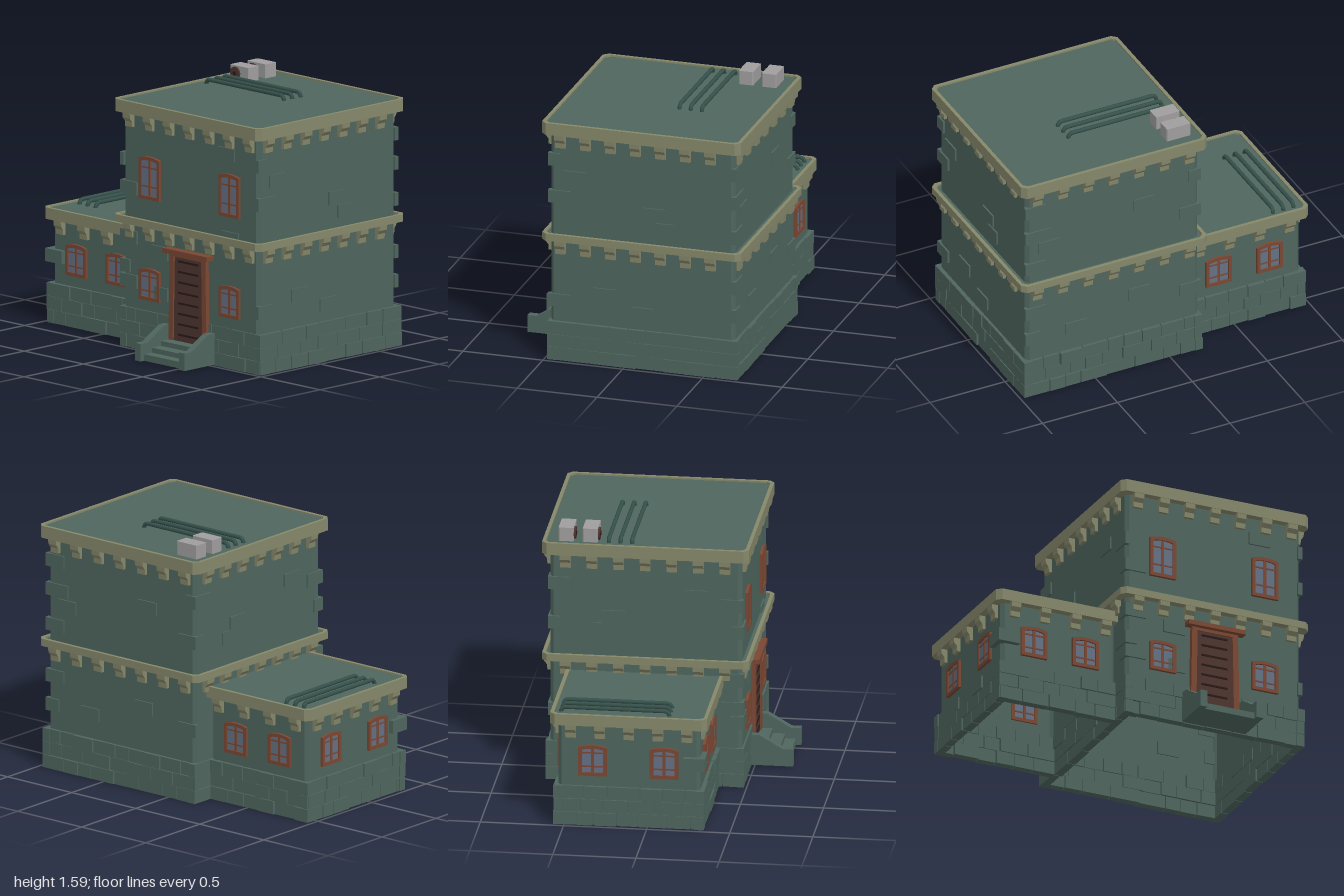
import * as THREE from 'three';

const mat = (name, color) => Object.assign(new THREE.MeshStandardMaterial({ color }), { name });
const M = {
  wall: mat('stone green', 0x4e655d), trim: mat('khaki trim', 0x85876a), pipe: mat('pipe green', 0x35504a),
  frame: mat('red brown wood', 0x7a4733), glass: mat('blue grey glass', 0x637083), door: mat('dark brown door', 0x4e342f),
  slot: mat('slot black brown', 0x281a18), metal: mat('grey metal', 0x9f9d9d),
};

// Footprints of the two blocks
const MAIN = { x0: -0.2, x1: 0.95, z0: -0.685, z1: 0.47 };
const WING = { x0: -0.95, x1: -0.2, z0: -0.54, z1: 0.315 };
const grow = (b, d) => ({ x0: b.x0 - d, x1: b.x1 + d, z0: b.z0 - d, z1: b.z1 + d });

let seed = 7;
const rnd = () => (seed = (seed * 16807) % 2147483647) / 2147483647;

function mesh(parent, name, geo, material, x = 0, y = 0, z = 0) {
  const m = new THREE.Mesh(geo, material);
  m.name = name;
  m.position.set(x, y, z);
  parent.add(m);
  return m;
}
const box = (parent, name, material, w, h, d, x, y, z) =>
  mesh(parent, name, new THREE.BoxGeometry(w, h, d), material, x, y, z);

function group(parent, name) {
  const g = new THREE.Group();
  g.name = name;
  parent.add(g);
  return g;
}

// Rectangle with cut corners, drawn with y = -z
function outline(b, c) {
  return [[b.x0 + c, -b.z1], [b.x1 - c, -b.z1], [b.x1, -b.z1 + c], [b.x1, -b.z0 - c],
    [b.x1 - c, -b.z0], [b.x0 + c, -b.z0], [b.x0, -b.z0 - c], [b.x0, -b.z1 + c]]
    .map(([x, y]) => new THREE.Vector2(x, y));
}

// Upright prism over a footprint; a thickness makes it a hollow ring
function prism(parent, name, material, b, y0, y1, thickness = 0, cut = 0.022) {
  const s = new THREE.Shape(outline(b, cut));
  if (thickness) s.holes.push(new THREE.Path(outline(grow(b, -thickness), cut * 0.8).reverse()));
  const geo = new THREE.ExtrudeGeometry(s, { depth: y1 - y0, bevelEnabled: false }).rotateX(-Math.PI / 2);
  return mesh(parent, name, geo, material, 0, y0, 0);
}

// Put an object on one side of a block, its local +z facing out
function place(o, b, side, u, y, out = 0) {
  if (side === 'front') o.position.set(u, y, b.z1 + out);
  if (side === 'back') o.position.set(u, y, b.z0 - out);
  if (side === 'east') o.position.set(b.x1 + out, y, u);
  if (side === 'west') o.position.set(b.x0 - out, y, u);
  o.rotation.y = { front: 0, back: Math.PI, east: Math.PI / 2, west: -Math.PI / 2 }[side];
}

// Cornice: band, raised rim, roof deck and a row of corbels
function cornice(parent, b, y0, y1, drop, rows) {
  const g = group(parent, 'cornice'), o = grow(b, 0.045);
  prism(g, 'corniceBand', M.trim, o, y0, y1 - 0.02, 0.07, 0.03);
  prism(g, 'corniceRim', M.trim, o, y1 - 0.02, y1, 0.022, 0.03);
  prism(g, 'roofDeck', M.wall, grow(o, -0.022), y1 - 0.022, y1 - 0.01, 0, 0.03);
  const profile = [[-0.005, 0], [0.042, 0], [0.04, -0.35], [0.022, -0.62], [0.02, -1], [-0.005, -1]];
  const s = new THREE.Shape(profile.map(([x, y]) => new THREE.Vector2(-x, y * drop)));
  const geo = new THREE.ExtrudeGeometry(s, { depth: 0.062, bevelEnabled: false })
    .translate(0, 0, -0.031).rotateY(Math.PI / 2);
  for (const [side, n, mid, step] of rows)
    for (let i = 0; i < n; i++)
      place(mesh(g, 'corbel', geo, M.trim), b, side, mid + (i - (n - 1) / 2) * step, y0);
}

// Three courses of loose blocks around the foot
function foundation(parent, b, sides) {
  const g = group(parent, 'foundation');
  for (const side of sides) {
    const alongX = side === 'front' || side === 'back';
    const lo = alongX ? b.x0 : b.z0, hi = alongX ? b.x1 : b.z1;
    for (let row = 0; row < 3; row++) {
      let u = lo;
      while (u < hi - 0.01) {
        let w = 0.1 + rnd() * 0.1;
        if (hi - u - w < 0.07) w = hi - u;
        const stone = box(g, 'foundationStone', M.wall, w - 0.005, 0.08, 0.05, 0, 0, 0);
        place(stone, b, side, u + w / 2, 0.044 + row * 0.082, -0.025 - rnd() * 0.012);
        u += w;
      }
    }
  }
}

// Window with a gently arched frame, glass and bars
const archShape = (w, h, rise) => {
  const s = new THREE.Shape();
  s.moveTo(-w / 2, -h / 2);
  s.lineTo(w / 2, -h / 2);
  s.lineTo(w / 2, h / 2 - rise);
  s.quadraticCurveTo(0, h / 2 + rise, -w / 2, h / 2 - rise);
  return s;
};
function windowUnit(parent, b, side, u, y, h) {
  const g = group(parent, 'window'), w = 0.172;
  const s = archShape(w, h, 0.014);
  s.holes.push(archShape(w - 0.042, h - 0.042, 0.01));
  mesh(g, 'windowFrame', new THREE.ExtrudeGeometry(s, { depth: 0.04, bevelEnabled: false, curveSegments: 6 }), M.frame, 0, 0, -0.022);
  box(g, 'windowGlass', M.glass, w - 0.03, h - 0.034, 0.026, 0, 0, -0.005);
  box(g, 'windowPost', M.frame, 0.016, h - 0.03, 0.036, 0, 0, -0.005);
  for (const f of [-0.2, 0.24]) box(g, 'windowBar', M.frame, w - 0.03, 0.009, 0.033, 0, h * f, -0.005);
  place(g, b, side, u, y);
}

// Single stones standing proud of a wall: [side, along, height, width, tall]
function wallStones(parent, b, list) {
  const g = group(parent, 'wallStones');
  for (const [side, u, y, w, h = 0.08] of list)
    place(box(g, 'wallStone', M.wall, w, h, 0.03, 0, 0, 0), b, side, u, y, -0.005);
}

// Corner stones: [x side, z side, height, x length, z length]
function cornerStones(parent, b, list, out = 0.011) {
  const g = group(parent, 'cornerStones');
  for (const [sx, sz, y, w, d] of list)
    box(g, 'cornerStone', M.wall, w, 0.08, d,
      (sx > 0 ? b.x1 : b.x0) + sx * (out - w / 2), y, (sz > 0 ? b.z1 : b.z0) + sz * (out - d / 2));
}

// Three parallel roof pipes, bent down at both ends
function pipes(parent, from, to, step, y) {
  const g = group(parent, 'roofPipes');
  for (let i = 0; i < 3; i++) {
    const a = from.clone().addScaledVector(step, i), e = to.clone().addScaledVector(step, i);
    const dir = e.clone().sub(a).normalize().multiplyScalar(0.018);
    const at = (p, k, h) => p.clone().addScaledVector(dir, k).setY(y + h);
    const path = new THREE.CurvePath();
    const pts = [at(a, 0, -0.005), at(a, 0, 0.012), at(a, 1, 0.028), at(e, -1, 0.028), at(e, 0, 0.012), at(e, 0, -0.005)];
    for (let k = 0; k < 5; k++) path.add(new THREE.LineCurve3(pts[k], pts[k + 1]));
    mesh(g, 'roofPipe', new THREE.TubeGeometry(path, 60, 0.013, 8), M.pipe);
  }
}

export function createModel() {
  const root = new THREE.Group();
  root.name = 'stoneBuilding';

  // Main block, two storeys
  const main = group(root, 'mainBlock');
  prism(main, 'lowerWalls', M.wall, MAIN, 0.245, 0.78, 0.012);
  prism(main, 'upperWalls', M.wall, MAIN, 0.78, 1.48, 0.012);
  const rows = [['front', 7, 0.377, 0.169], ['back', 7, 0.377, 0.169], ['east', 7, -0.068, 0.157], ['west', 7, -0.11, 0.16]];
  cornice(main, MAIN, 0.765, 0.81, 0.085, rows);
  cornice(main, MAIN, 1.44, 1.515, 0.085, rows);
  foundation(main, { x0: -0.215, x1: 0.977, z0: -0.712, z1: 0.485 }, ['front', 'east', 'back', 'west']);
  for (const x of [0.037, 0.712]) {
    windowUnit(main, MAIN, 'front', x, 1.063, 0.262);
    windowUnit(main, MAIN, 'front', x, 0.413, 0.195);
  }
  wallStones(main, MAIN, [
    ['front', 0.68, 1.31, 0.14], ['front', 0.715, 0.81, 0.14, 0.06], ['front', 0.115, 0.62, 0.14], ['front', 0.13, 0.37, 0.11],
    ['east', 0.315, 1.17, 0.14], ['east', -0.185, 0.99, 0.14], ['east', -0.25, 0.9, 0.12],
    ['east', 0.13, 0.445, 0.14], ['east', -0.11, 0.35, 0.14],
    ['back', 0.17, 1.15, 0.14], ['back', 0.8, 1.03, 0.14], ['back', 0.85, 1.12, 0.12], ['back', 0.2, 0.52, 0.14],
    ['back', 0.62, 0.4, 0.14], ['west', 0.2, 1.2, 0.14], ['west', -0.3, 1.05, 0.14], ['west', -0.38, 0.97, 0.12],
  ]);
  cornerStones(main, MAIN, [
    [-1, 1, 0.98, 0.14, 0.08], [-1, 1, 0.68, 0.14, 0.08], [-1, 1, 0.5, 0.08, 0.14], [-1, 1, 0.41, 0.14, 0.08],
    [-1, 1, 1.15, 0.03, 0.14], [1, 1, 1.275, 0.03, 0.08], [1, 1, 1.04, 0.03, 0.14], [1, 1, 0.38, 0.03, 0.14],
    [1, -1, 1.3, 0.14, 0.03], [1, -1, 1.12, 0.1, 0.03], [1, -1, 0.9, 0.14, 0.03], [1, -1, 0.58, 0.14, 0.03],
    [1, -1, 0.4, 0.1, 0.03], [-1, -1, 1.25, 0.08, 0.14], [-1, -1, 1.0, 0.14, 0.08], [-1, -1, 0.45, 0.14, 0.03],
  ]);

  // Low side wing
  const wing = group(root, 'wing');
  prism(wing, 'wingWalls', M.wall, WING, 0.245, 0.69, 0.012);
  cornice(wing, WING, 0.64, 0.71, 0.085, [['front', 4, -0.57, 0.2], ['back', 4, -0.57, 0.2], ['west', 5, -0.112, 0.175]]);
  foundation(wing, { x0: -0.978, x1: -0.2, z0: -0.567, z1: 0.342 }, ['front', 'back', 'west']);
  for (const x of [-0.74, -0.4])
    for (const side of ['front', 'back']) windowUnit(wing, WING, side, x, 0.413, 0.195);
  for (const z of [-0.33, 0.1]) windowUnit(wing, WING, 'west', z, 0.413, 0.195);
  cornerStones(wing, WING, [[-1, 1, 0.417, 0.14, 0.13]], 0.032);

  // Door with frame, lintel and slots
  const door = group(root, 'door');
  box(door, 'doorPanel', M.door, 0.27, 0.54, 0.03, 0.375, 0.375, 0.474);
  box(door, 'doorBack', M.frame, 0.3, 0.54, 0.02, 0.375, 0.375, 0.436);
  for (let i = 0; i < 8; i++) box(door, 'doorSlot', M.slot, 0.17, 0.012, 0.006, 0.375, 0.15 + i * 0.064, 0.49);
  for (const s of [-1, 1]) {
    const post = box(door, 'doorPost', M.frame, 0.036, 0.545, 0.06, 0.375 + s * 0.138, 0.375, 0.468);
    post.rotation.z = s * 0.018;
  }
  box(door, 'doorHead', M.frame, 0.29, 0.025, 0.056, 0.375, 0.635, 0.468);
  box(door, 'doorLintel', M.frame, 0.378, 0.028, 0.075, 0.377, 0.656, 0.488);

  // Steps between two sloping cheek walls
  const stairs = group(root, 'stairs');
  [[0.05, 0.7], [0.08, 0.635], [0.11, 0.56]].forEach(([h, z]) =>
    box(stairs, 'step', M.wall, 0.34, h - 0.01, z - 0.46, 0.375, (h + 0.01) / 2, (z + 0.46) / 2));
  const cheek = new THREE.Shape([[-0.46, 0.01], [-0.46, 0.2], [-0.53, 0.2], [-0.67, 0.117], [-0.73, 0.117], [-0.73, 0.01]]
    .map(([x, y]) => new THREE.Vector2(x, y)).reverse());
  const cheekGeo = new THREE.ExtrudeGeometry(cheek, { depth: 0.046, bevelEnabled: false }).rotateY(Math.PI / 2);
  for (const x of [0.166, 0.538]) mesh(stairs, 'stairCheek', cheekGeo, M.wall, x, 0, 0);

  // Roof equipment
  const v = (x, z) => new THREE.Vector3(x, 0, z);
  pipes(root, v(-0.16, -0.335), v(0.495, -0.335), v(0, 0.07), 1.505);
  pipes(root, v(-0.912, -0.525), v(-0.912, 0.125), v(0.068, 0), 0.7);
  for (const z of [-0.592, -0.447]) {
    const unit = group(root, 'coolingUnit');
    prism(unit, 'unitCase', M.metal, { x0: -0.17, x1: -0.013, z0: z - 0.045, z1: z + 0.045 }, 1.5, 1.59, 0, 0.005);
    mesh(unit, 'unitFan', new THREE.CylinderGeometry(0.038, 0.038, 0.012, 20).rotateX(Math.PI / 2), M.door, -0.12, 1.545, z + 0.05);
    mesh(unit, 'unitFanHub', new THREE.CylinderGeometry(0.012, 0.012, 0.006, 12).rotateX(Math.PI / 2), M.slot, -0.12, 1.545, z + 0.057);
  }
  return root;
}
